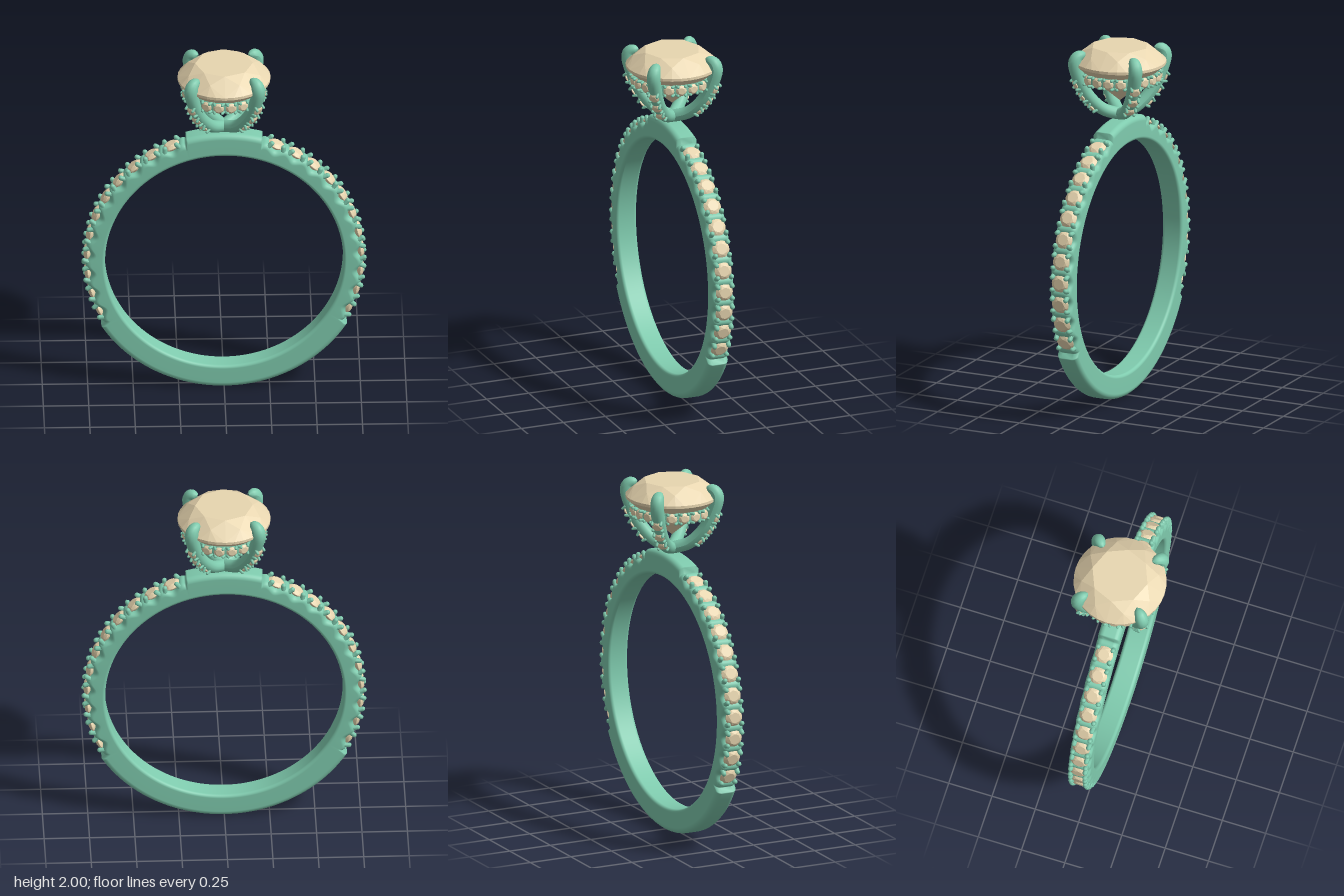
import * as THREE from 'three';
import { ConvexGeometry } from 'three/addons/geometries/ConvexGeometry.js';

const V = (x, y, z) => new THREE.Vector3(x, y, z);
const RAD = Math.PI / 180;
const CENTER = 0.79, OUTER = 0.79, INNER = 0.655, HALF_WIDTH = 0.062;
const STONES = 11, STEP = 9.2, FIRST = 67.5; // stones on each shoulder, in degrees

const metal = new THREE.MeshStandardMaterial({ color: 0x7fcbae });
const stone = new THREE.MeshStandardMaterial({ color: 0xe8d6b0, flatShading: true });

// Round brilliant of girdle radius 1, girdle at y = 0, table facing +y
function brilliant() {
  const points = [V(0, -0.88, 0)];
  const ring = (n, r, y, turn = 0) => {
    for (let i = 0; i < n; i++) {
      const a = ((i + turn) / n) * Math.PI * 2;
      points.push(V(r * Math.cos(a), y, r * Math.sin(a)));
    }
  };
  ring(8, 0.62, 0.35);        // table
  ring(8, 0.83, 0.215, 0.5);  // crown kites
  ring(32, 1, 0.03);          // girdle
  ring(32, 1, -0.03);
  ring(8, 0.48, -0.5, 0.5);   // pavilion
  return new ConvexGeometry(points);
}
const gemGeometry = brilliant();
const beadGeometry = new THREE.CapsuleGeometry(0.28, 0.6, 3, 7);

// Small stone held by four beads; "out" is the direction of its table
function pave(parent, position, out, tangent, size) {
  const group = new THREE.Group();
  group.name = 'paveStone';
  const side = new THREE.Vector3().crossVectors(tangent, out);
  group.quaternion.setFromRotationMatrix(new THREE.Matrix4().makeBasis(tangent, out, side));
  group.position.copy(position);
  group.scale.setScalar(size);
  const gem = new THREE.Mesh(gemGeometry, stone);
  gem.name = 'smallGem';
  group.add(gem);
  for (const sx of [-1, 1]) for (const sz of [-1, 1]) {
    const bead = new THREE.Mesh(beadGeometry, metal);
    bead.name = 'bead';
    bead.position.set(sx * 0.8, 0.04, sz * 0.84);
    bead.rotation.z = sx * 0.35;
    group.add(bead);
  }
  parent.add(group);
}

// Outer radius of the band: full at top and bottom, scalloped under the stones
function outerRadius(angle) {
  let a = angle / RAD;
  if (a > 180) a -= 360;
  if (Math.abs(a) > 90) a = Math.sign(a) * 180 - a; // mirror left and right
  if (a > 74 || a < -31) return OUTER;
  const phase = ((FIRST - a) / STEP) * Math.PI * 2;
  return 0.75 - 0.014 * Math.cos(phase);
}

// Band: rounded rectangle swept around the finger hole
function bandGeometry() {
  const N = 600, corners = 6, positions = [], index = [];
  const M = 4 * (corners + 1);
  for (let i = 0; i < N; i++) {
    const a = (i / N) * Math.PI * 2, ro = outerRadius(a);
    for (let q = 0; q < 4; q++) {
      const outside = q === 0 || q === 3, c = outside ? 0.032 : 0.018;
      const cr = outside ? ro - c : INNER + c;
      const cz = (q < 2 ? 1 : -1) * (HALF_WIDTH - c);
      for (let k = 0; k <= corners; k++) {
        const t = (q + k / corners) * Math.PI / 2;
        const r = cr + c * Math.cos(t);
        positions.push(r * Math.cos(a), r * Math.sin(a), cz + c * Math.sin(t));
      }
    }
    const n = ((i + 1) % N) * M, b = i * M;
    for (let j = 0; j < M; j++) {
      const k = (j + 1) % M;
      index.push(b + j, n + j, n + k, b + j, n + k, b + k);
    }
  }
  const g = new THREE.BufferGeometry();
  g.setAttribute('position', new THREE.Float32BufferAttribute(positions, 3));
  g.setIndex(index);
  g.computeVertexNormals();
  return g;
}

// Tube whose thickness follows radius(u)
function taperedTube(curve, segments, sides, radius) {
  const g = new THREE.TubeGeometry(curve, segments, 1, sides);
  const p = g.attributes.position, v = V(0, 0, 0);
  for (let i = 0; i < p.count; i++) {
    const u = Math.floor(i / (sides + 1)) / segments;
    const c = curve.getPointAt(u);
    v.fromBufferAttribute(p, i).sub(c).multiplyScalar(radius(u)).add(c);
    p.setXYZ(i, v.x, v.y, v.z);
  }
  g.computeVertexNormals();
  return g;
}

export function createModel() {
  const model = new THREE.Group();
  model.name = 'ring';

  // Band with stones on both shoulders
  const band = new THREE.Group();
  band.name = 'band';
  band.position.y = CENTER;
  const hoop = new THREE.Mesh(bandGeometry(), metal);
  hoop.name = 'hoop';
  band.add(hoop);
  for (const s of [-1, 1]) for (let i = 0; i < STONES; i++) {
    const a = (FIRST - i * STEP) * RAD;
    const out = V(s * Math.cos(a), Math.sin(a), 0);
    pave(band, out.clone().multiplyScalar(0.754), out, V(-out.y, out.x, 0), 0.05);
  }
  model.add(band);

  const head = new THREE.Group();
  head.name = 'head';
  model.add(head);

  // Centre stone
  const centre = new THREE.Mesh(gemGeometry, stone);
  centre.name = 'centreStone';
  centre.scale.setScalar(0.256);
  centre.position.y = 1.91;
  head.add(centre);

  // Four curved prongs set with stones
  const path = new THREE.CatmullRomCurve3([
    V(0, 1.607, 0), V(0.1, 1.645, 0), V(0.19, 1.735, 0), V(0.24, 1.835, 0),
    V(0.262, 1.92, 0), V(0.248, 1.955, 0), V(0.2, 1.974, 0),
  ]);
  const prongGeometry = taperedTube(path, 48, 14, u =>
    u < 0.82 ? 0.034 + 0.005 * u : Math.max(0.002, 0.038 * Math.sqrt(Math.max(0, 1 - ((u - 0.82) / 0.18) ** 2))));
  for (let i = 0; i < 4; i++) {
    const prong = new THREE.Group();
    prong.name = 'prong';
    prong.rotation.y = (45 + 90 * i) * RAD;
    const claw = new THREE.Mesh(prongGeometry, metal);
    claw.name = 'claw';
    prong.add(claw);
    for (const u of [0.32, 0.465, 0.61]) {
      const t = path.getTangentAt(u), out = V(t.y, -t.x, 0);
      pave(prong, path.getPointAt(u).addScaledVector(out, 0.032), out, t, 0.03);
    }
    head.add(prong);
  }

  // Halo under the girdle, four stones between each pair of prongs
  const halo = new THREE.Group();
  halo.name = 'halo';
  halo.position.y = 1.834;
  const profile = [[0.186, -0.024], [0.194, -0.031], [0.208, -0.031], [0.216, -0.022],
    [0.216, 0.022], [0.208, 0.031], [0.194, 0.031], [0.186, 0.024], [0.186, -0.024]];
  const rail = new THREE.Mesh(
    new THREE.LatheGeometry(profile.map(([r, y]) => new THREE.Vector2(r, y)), 64), metal);
  rail.name = 'haloRail';
  halo.add(rail);
  for (let i = 0; i < 20; i++) {
    if (i % 5 === 2) continue; // a prong passes here
    const a = (9 + i * 18) * RAD;
    const out = V(Math.cos(a), 0, Math.sin(a));
    pave(halo, out.clone().multiplyScalar(0.222), out, V(-out.z, 0, out.x), 0.03);
  }
  head.add(halo);

  return model;
}
